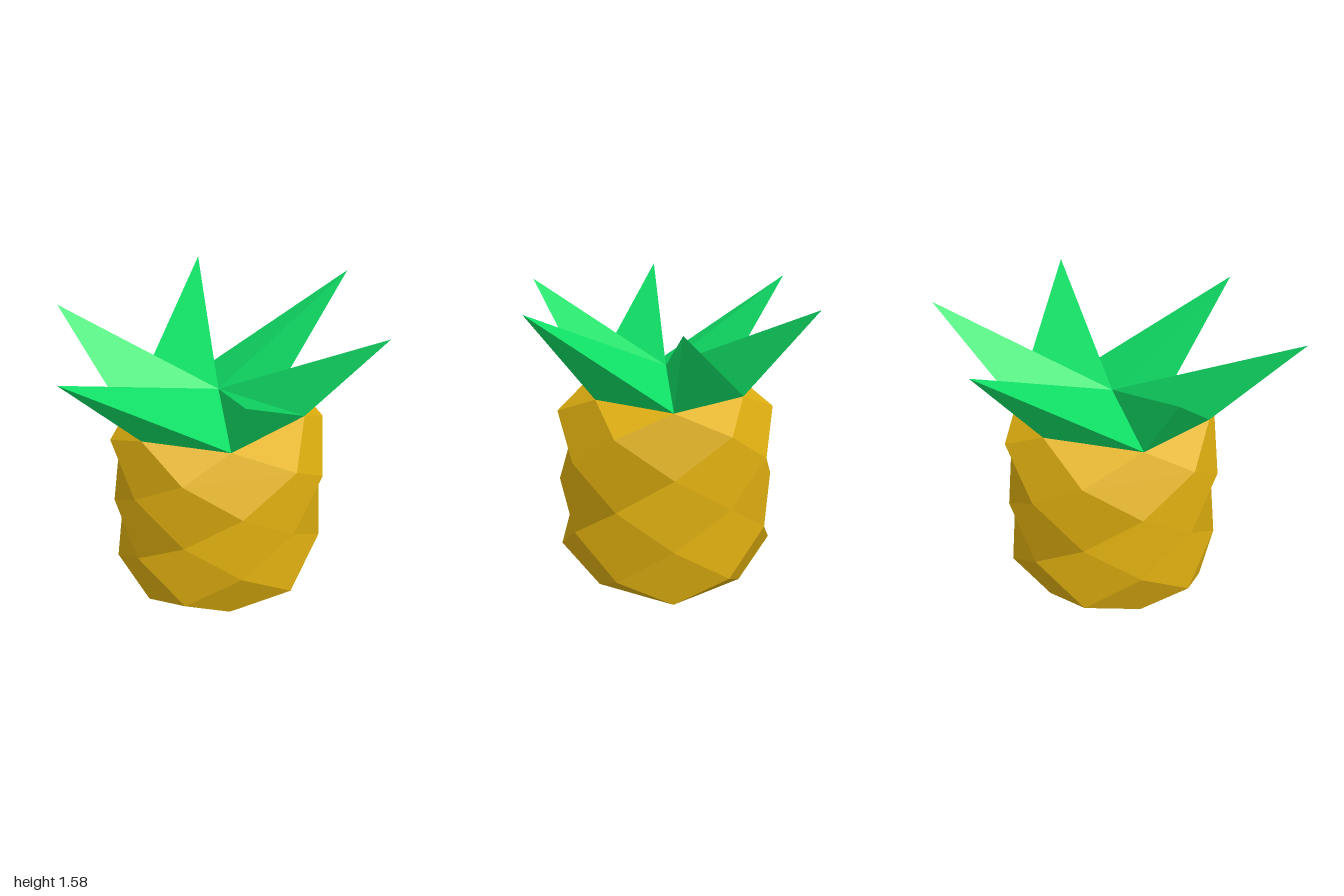
import * as THREE from 'three';

const SIDES = 6;
const CROWN_Y = 1.075;
const X_SQUASH = 0.843; // end rings and leaves are narrower across x

// point on a six-sided ring, angle counted from +x towards +z
function ringPoint(radius, y, degrees, squash = 1) {
  const a = THREE.MathUtils.degToRad(degrees);
  return new THREE.Vector3(Math.cos(a) * radius * squash, y, Math.sin(a) * radius);
}

// collects triangles, each with one flat normal shared by its facet
function facetBuilder() {
  const positions = [], normals = [];
  const add = (normal, ...points) => {
    for (const p of points) {
      positions.push(p.x, p.y, p.z);
      normals.push(normal.x, normal.y, normal.z);
    }
  };
  const cross = (a, b, c, d) => b.clone().sub(a).cross(d.clone().sub(c)).normalize();
  return {
    triangle(a, b, c) {
      add(cross(a, b, a, c), a, b, c);
    },
    // diamond: bottom, right, top, left, folded along one diagonal
    diamond(b, r, t, l, upright) {
      const n = cross(b, t, r, l);
      if (upright) add(n, b, r, t, b, t, l);
      else add(n, b, r, l, r, t, l);
    },
    geometry() {
      const g = new THREE.BufferGeometry();
      g.setAttribute('position', new THREE.Float32BufferAttribute(positions, 3));
      g.setAttribute('normal', new THREE.Float32BufferAttribute(normals, 3));
      return g;
    },
  };
}

// body: staggered rings joined by diamond facets
function bodyGeometry() {
  const heights = [0, 0.135, 0.335, 0.535, 0.735, 0.935, CROWN_Y];
  const last = heights.length - 1;
  const point = (j, k) => {
    const end = j === 0 || j === last;
    return ringPoint(end ? 0.535 : 0.6, heights[j], 60 * k + (j % 2 ? 0 : 30), end ? X_SQUASH : 1);
  };
  const facets = facetBuilder();
  for (let k = 0; k < SIDES; k++) {
    for (let j = 0; j + 2 <= last; j++) {
      const right = j % 2 ? k - 1 : k;
      const upright = j === 0 || (j === 2 && k === 4) || (j === 4 && k === 1);
      facets.diamond(point(j, k), point(j + 1, right), point(j + 2, k), point(j + 1, right + 1), upright);
    }
    // triangles that close the zigzag at both ends
    facets.triangle(point(0, k + 1), point(0, k), point(1, k + 1));
    facets.triangle(point(last - 1, k + 1), point(last, k), point(last, k + 1));
    // flat end caps
    facets.triangle(new THREE.Vector3(0, 0, 0), point(0, k), point(0, k + 1));
    facets.triangle(new THREE.Vector3(0, CROWN_Y, 0), point(last, k + 1), point(last, k));
  }
  return facets.geometry();
}

// one pinwheel leaf: a pyramid from a rim edge and the centre out to the tip
function leafGeometry(k) {
  const angle = 60 * k + 30;
  const a = ringPoint(0.535, CROWN_Y, angle - 60, X_SQUASH);
  const b = ringPoint(0.535, CROWN_Y, angle, X_SQUASH);
  const tip = ringPoint(1, 1.58, angle, X_SQUASH);
  const centre = new THREE.Vector3(0, 1.18, 0);
  const facets = facetBuilder();
  facets.triangle(b, a, tip);
  facets.triangle(tip, a, centre);
  facets.triangle(b, tip, centre);
  return facets.geometry();
}

export function createModel() {
  const model = new THREE.Group();
  model.name = 'pineapple';

  const body = new THREE.Mesh(bodyGeometry(), new THREE.MeshStandardMaterial({ color: 0xe0b010 }));
  body.name = 'body';
  model.add(body);

  const crown = new THREE.Group();
  crown.name = 'crown';
  const green = new THREE.MeshStandardMaterial({ color: 0x10e066, side: THREE.DoubleSide });
  for (let k = 0; k < SIDES; k++) {
    const leaf = new THREE.Mesh(leafGeometry(k), green);
    leaf.name = `leaf${k + 1}`;
    crown.add(leaf);
  }
  model.add(crown);
  return model;
}
